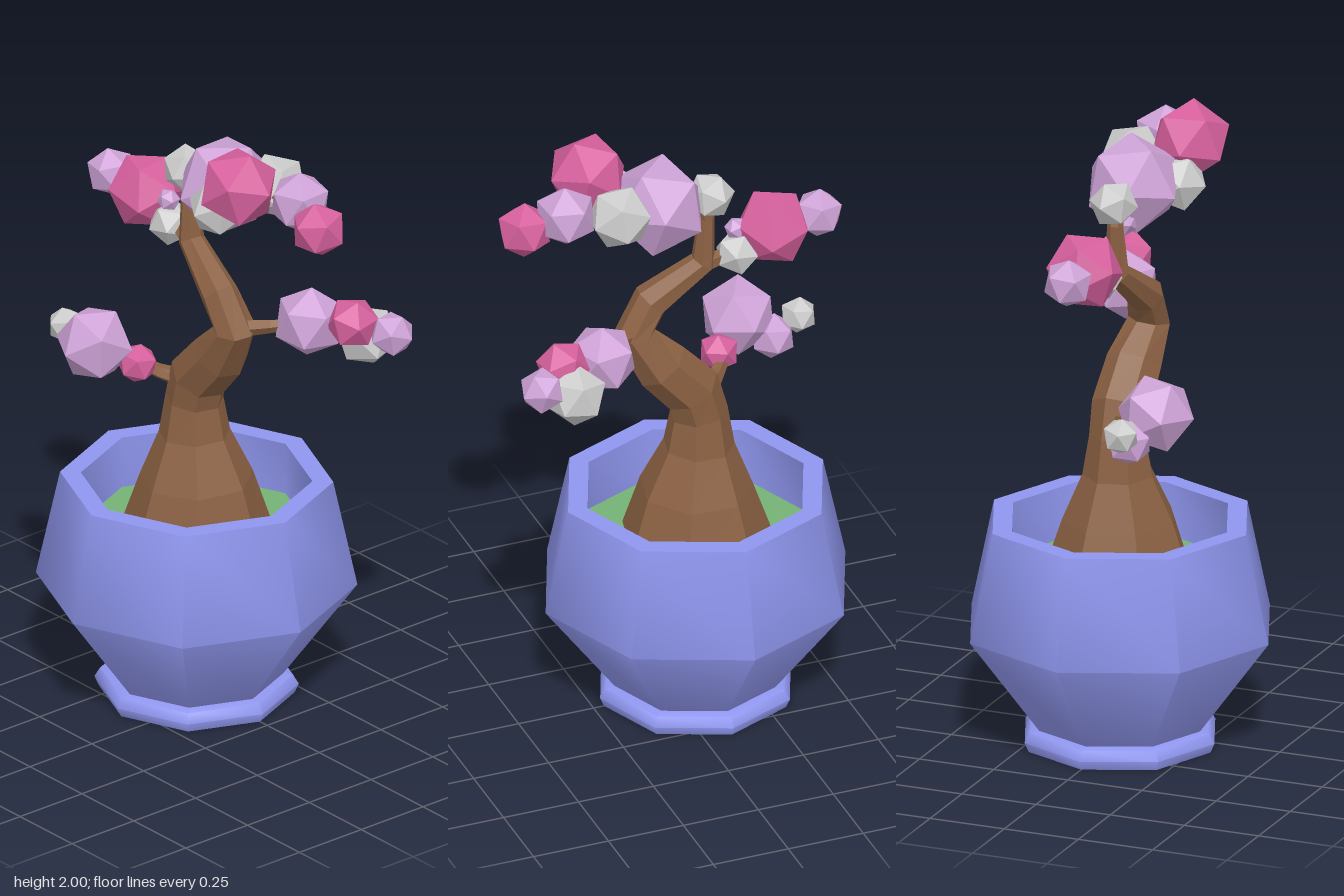
import * as THREE from 'three';
import { toCreasedNormals } from 'three/addons/utils/BufferGeometryUtils.js';

const mat = (color, flatShading = true) => new THREE.MeshStandardMaterial({ color, flatShading });
const POT_Z = -0.09;

function part(name, geometry, material) {
  const mesh = new THREE.Mesh(geometry, material);
  mesh.name = name;
  return mesh;
}

// Tapered faceted limb through stations [x, y, z, radius]
function limb(stations, sides) {
  const centres = stations.map(([x, y, z]) => new THREE.Vector3(x, y, z));
  const last = stations.length - 1;
  const pos = [], index = [];
  centres.forEach((c, i) => {
    const t = centres[Math.min(i + 1, last)].clone().sub(centres[Math.max(i - 1, 0)]).normalize();
    const u = new THREE.Vector3(1, 0, 0).addScaledVector(t, -t.x).normalize();
    const v = u.clone().cross(t);
    for (let k = 0; k < sides; k++) {
      const a = (k / sides) * Math.PI * 2;
      const p = c.clone().addScaledVector(u, -Math.cos(a) * stations[i][3])
        .addScaledVector(v, Math.sin(a) * stations[i][3]);
      pos.push(p.x, p.y, p.z);
      if (i < last) {
        const p0 = i * sides + k, p1 = i * sides + (k + 1) % sides;
        index.push(p0, p1, p1 + sides, p0, p1 + sides, p0 + sides);
      }
    }
  });
  // Closed tip
  const tip = pos.length / 3;
  pos.push(...centres[last].toArray());
  for (let k = 0; k < sides; k++) index.push(last * sides + k, last * sides + (k + 1) % sides, tip);
  const g = new THREE.BufferGeometry();
  g.setAttribute('position', new THREE.Float32BufferAttribute(pos, 3));
  g.setIndex(index);
  g.computeVertexNormals();
  return g;
}

export function createModel() {
  const model = new THREE.Group();
  model.name = 'bonsai';

  // Octagonal pot: foot, bulging wall, rim and inner wall
  const profile = [
    [0, 0], [0.305, 0], [0.318, 0.03], [0.3, 0.06], [0.27, 0.065],
    [0.5, 0.38], [0.425, 0.73], [0.36, 0.73], [0.36, 0.54],
  ].map(([r, y]) => new THREE.Vector2(r, y));
  const pot = part('pot', toCreasedNormals(new THREE.LatheGeometry(profile, 8), 0.93), mat(0x8f96ee, false));
  pot.position.z = POT_Z;
  model.add(pot);

  // Moss
  const moss = part('moss', new THREE.CylinderGeometry(0.36, 0.36, 0.02, 8), mat(0x74b274));
  moss.position.set(0, 0.55, POT_Z);
  model.add(moss);

  // Winding trunk and its branches
  const bark = mat(0x8a6042);
  model.add(part('trunk', limb([
    [0, 0.55, -0.09, 0.24], [0, 0.73, -0.09, 0.18], [0, 0.88, -0.1, 0.113],
    [0, 1.0, -0.1, 0.092], [0, 1.09, -0.075, 0.095], [0, 1.2, 0.025, 0.09],
    [-0.015, 1.32, 0.11, 0.068], [-0.025, 1.42, 0.05, 0.06],
    [0, 1.54, -0.115, 0.042], [0, 1.7, -0.125, 0.026], [0, 1.78, -0.1, 0.022],
  ], 7), bark));
  const branches = {
    crownBranch: [[0, 1.76, -0.12, 0.022], [0, 1.79, 0.05, 0.02], [0.04, 1.83, 0.36, 0.012]],
    frontBranch: [[-0.01, 1.32, 0.11, 0.03], [0.06, 1.34, 0.2, 0.022], [0.14, 1.36, 0.28, 0.015], [0.27, 1.36, 0.45, 0.01]],
    upperBackBranch: [[0, 1.53, -0.11, 0.03], [0.01, 1.56, -0.22, 0.02], [0.01, 1.62, -0.34, 0.012]],
    lowerBackBranch: [[0, 1.05, -0.12, 0.035], [-0.07, 1.08, -0.19, 0.024], [-0.13, 1.12, -0.25, 0.018], [-0.21, 1.17, -0.32, 0.012]],
  };
  for (const [name, stations] of Object.entries(branches)) model.add(part(name, limb(stations, 5), bark));

  // Blossom clusters: [colour, x, y, z, radius]
  const colours = { pink: mat(0xd6609d), lilac: mat(0xcda2d6), grey: mat(0xcccccc) };
  const clusters = {
    crownBlossom: [
      ['pink', -0.1, 1.88, 0.23, 0.13], ['lilac', 0.01, 1.785, 0.04, 0.16],
      ['grey', 0.08, 1.815, 0.195, 0.105], ['grey', -0.1, 1.775, 0.13, 0.095],
      ['lilac', 0.04, 1.835, 0.36, 0.1], ['pink', 0.01, 1.795, 0.485, 0.09],
      ['grey', 0, 1.775, -0.14, 0.077], ['lilac', 0, 1.69, -0.06, 0.045],
    ],
    upperBackBlossom: [
      ['pink', 0.01, 1.62, -0.345, 0.125], ['lilac', 0, 1.63, -0.5, 0.08],
      ['grey', 0.01, 1.555, -0.225, 0.073], ['lilac', 0, 1.635, -0.225, 0.037],
    ],
    frontBlossom: [
      ['lilac', 0.145, 1.36, 0.28, 0.115], ['grey', 0.265, 1.325, 0.415, 0.1],
      ['pink', 0.195, 1.395, 0.43, 0.085], ['lilac', 0.27, 1.37, 0.53, 0.073],
    ],
    lowerBackBlossom: [
      ['pink', -0.13, 1.115, -0.22, 0.065], ['lilac', -0.22, 1.175, -0.32, 0.125],
      ['lilac', -0.17, 1.105, -0.415, 0.075], ['grey', -0.18, 1.155, -0.505, 0.06],
    ],
  };
  let turn = 0;
  for (const [name, blobs] of Object.entries(clusters)) {
    const group = new THREE.Group();
    group.name = name;
    for (const [colour, x, y, z, r] of blobs) {
      const blob = part(colour + 'Blossom', new THREE.IcosahedronGeometry(r), colours[colour]);
      blob.position.set(x, y, z);
      turn += 1.3;
      blob.rotation.set(turn, turn * 1.7, turn * 0.6);
      group.add(blob);
    }
    model.add(group);
  }
  return model;
}
